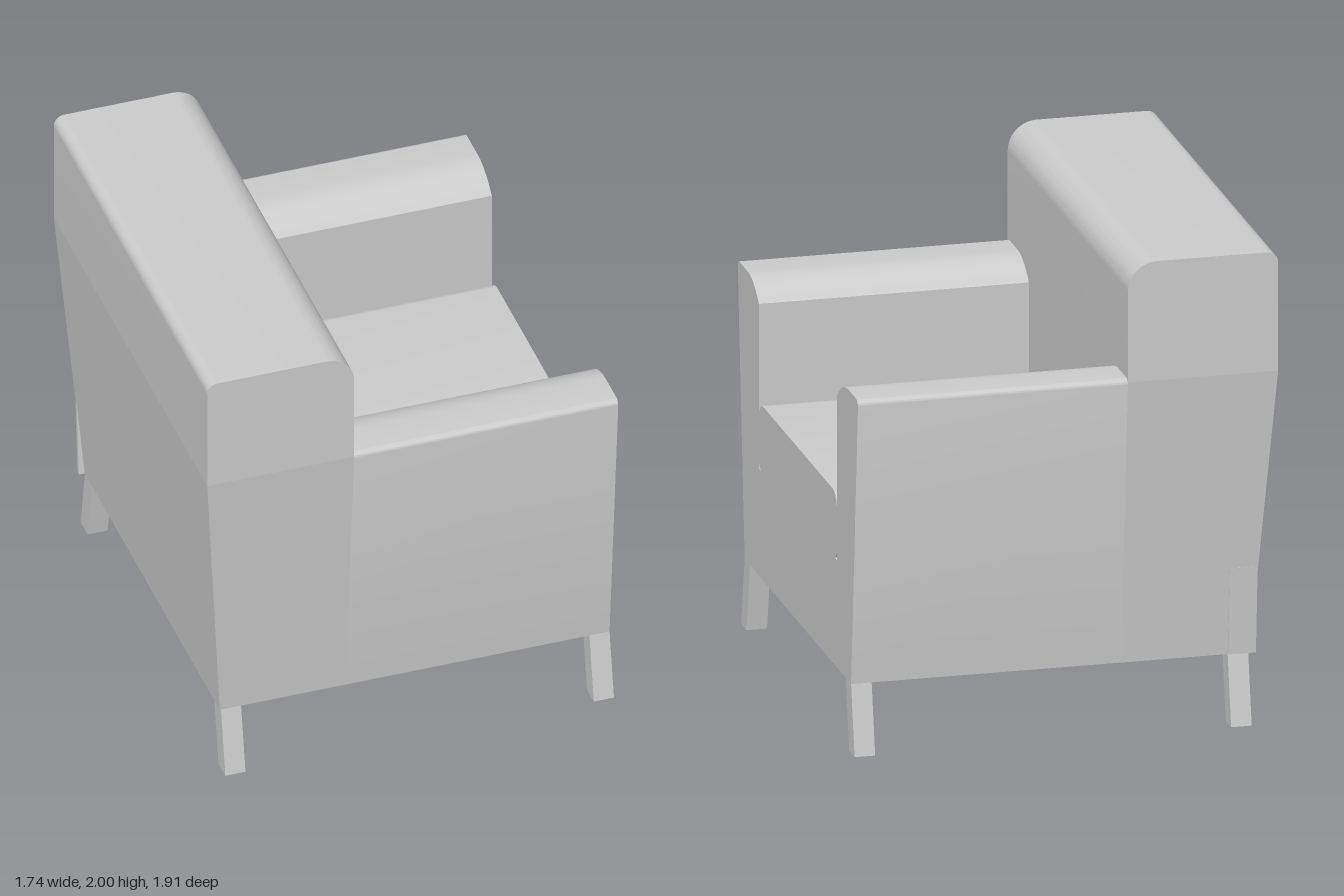
import * as THREE from 'three';
import { toCreasedNormals } from 'three/addons/utils/BufferGeometryUtils.js';

const material = new THREE.MeshStandardMaterial({ color: 0xcccccc });
const BOTTOM = 0.29, SHOULDER = 1.5, FRONT = 0.865, BACK_FACE = -0.25;

function extrude(shape, depth) {
  return new THREE.ExtrudeGeometry(shape, { depth, bevelEnabled: false, curveSegments: 12 });
}

function addMesh(group, name, geometry) {
  const mesh = new THREE.Mesh(toCreasedNormals(geometry, 0.6), material);
  mesh.name = name;
  group.add(mesh);
  return mesh;
}

// Sweep a profile drawn in (-z, y) along x
function alongX(shape, x0, x1) {
  return extrude(shape, x1 - x0).rotateY(Math.PI / 2).translate(x0, 0, 0);
}

// Sweep a profile drawn in (x, y) along z, with ends that lean in below the shoulder
function alongZ(shape) {
  const geometry = extrude(shape, 2).translate(0, 0, -1);
  const p = geometry.attributes.position;
  for (let i = 0; i < p.count; i++) {
    const drop = Math.max(0, SHOULDER - p.getY(i)) / (SHOULDER - BOTTOM);
    p.setZ(i, Math.sign(p.getZ(i)) * (0.955 - 0.11 * drop));
  }
  return geometry;
}

function polygon(points) {
  return new THREE.Shape(points.map(([u, v]) => new THREE.Vector2(u, v)));
}

export function createModel() {
  const chair = new THREE.Group();
  chair.name = 'armchair';

  // Upper back: rounded top, wider radius on the seat side
  const top = new THREE.Shape();
  top.moveTo(-0.87, SHOULDER);
  top.lineTo(BACK_FACE, SHOULDER);
  top.lineTo(BACK_FACE, 1.88);
  top.absarc(BACK_FACE - 0.12, 1.88, 0.12, 0, Math.PI / 2, false);
  top.lineTo(-0.825, 2);
  top.absarc(-0.825, 1.955, 0.045, Math.PI / 2, Math.PI, false);
  top.closePath();
  addMesh(chair, 'upperBack', alongZ(top));

  // Lower back: rear face slopes in towards the floor
  addMesh(chair, 'lowerBack', alongZ(polygon([
    [-0.78, BOTTOM], [BACK_FACE, BOTTOM], [BACK_FACE, SHOULDER], [-0.87, SHOULDER],
  ])));

  for (const s of [1, -1]) {
    const side = s < 0 ? 'left' : 'right';

    // Arm: leaning outer face, soft outer edge, broad inner curve
    const arm = new THREE.Shape();
    arm.moveTo(s * 0.62, BOTTOM);
    arm.lineTo(s * 0.845, BOTTOM);
    arm.lineTo(s * 0.953, 1.48);
    arm.quadraticCurveTo(s * 0.955, 1.512, s * 0.925, 1.512);
    arm.lineTo(s * 0.80, 1.512);
    arm.quadraticCurveTo(s * 0.70, 1.512, s * 0.62, 1.43);
    arm.closePath();
    addMesh(chair, side + 'Arm', alongX(arm, -0.77, FRONT));

    // Splayed legs
    const leg = polygon([
      [s * 0.815, 0], [s * 0.9, 0], [s * 0.845, BOTTOM], [s * 0.76, BOTTOM],
    ]);
    addMesh(chair, side + 'FrontLeg', alongX(leg, 0.78, FRONT));
    addMesh(chair, side + 'RearLeg', alongX(leg, -0.775, -0.69));
  }

  // Seat base between the arms
  addMesh(chair, 'seatBase', alongX(polygon([
    [-0.62, BOTTOM], [0.62, BOTTOM], [0.62, 0.74], [-0.62, 0.74],
  ]), -0.77, FRONT));

  // Cushion with rounded long edges
  const cushion = new THREE.Shape();
  cushion.moveTo(-0.575, 0.74);
  cushion.lineTo(0.575, 0.74);
  cushion.absarc(0.575, 0.785, 0.045, -Math.PI / 2, 0, false);
  cushion.lineTo(0.62, 0.95);
  cushion.absarc(0.55, 0.95, 0.07, 0, Math.PI / 2, false);
  cushion.lineTo(-0.55, 1.02);
  cushion.absarc(-0.55, 0.95, 0.07, Math.PI / 2, Math.PI, false);
  cushion.lineTo(-0.62, 0.785);
  cushion.absarc(-0.575, 0.785, 0.045, Math.PI, Math.PI * 1.5, false);
  addMesh(chair, 'seatCushion', alongX(cushion, BACK_FACE - 0.05, FRONT));

  // Slim strip at the rear corner
  addMesh(chair, 'rearCornerStrip', alongX(polygon([
    [0.835, BOTTOM], [0.852, BOTTOM], [0.88, 0.66], [0.865, 0.66],
  ]), -0.805, -0.69));

  return chair;
}
